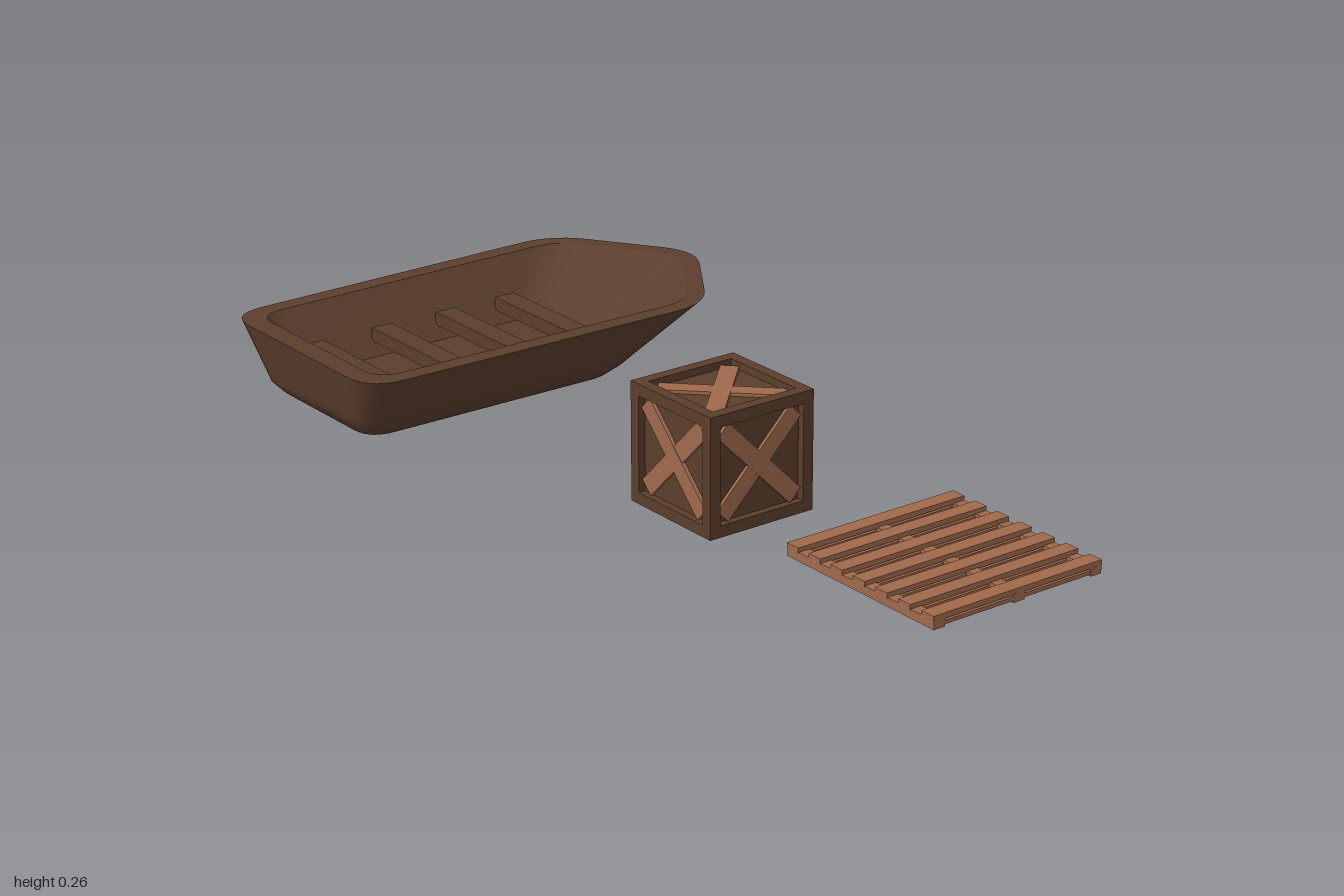
import * as THREE from 'three';

const dark = new THREE.MeshStandardMaterial({ color: 0x5c3f2e });
const light = new THREE.MeshStandardMaterial({ color: 0xa06a4c });

function box(parent, name, size, pos, material) {
  const mesh = new THREE.Mesh(new THREE.BoxGeometry(...size), material);
  mesh.name = name;
  mesh.position.set(...pos);
  parent.add(mesh);
  return mesh;
}

// Five-cornered boat outline with rounded corners, counterclockwise from above
function outline({ y, stern, side, zStern, zSide, zTip, r }) {
  const corners = [[stern, zStern], [side, zSide], [0, zTip], [-side, zSide], [-stern, zStern]]
    .map(([x, z]) => new THREE.Vector3(x, y, z));
  const loop = [];
  corners.forEach((c, i) => {
    const prev = corners[(i + 4) % 5], next = corners[(i + 1) % 5];
    const a = c.clone().add(prev.clone().sub(c).setLength(r));
    const b = c.clone().add(next.clone().sub(c).setLength(r));
    loop.push(...new THREE.QuadraticBezierCurve3(a, c, b).getPoints(7));
  });
  return loop;
}

// Skin over a stack of loops
function skin(loops) {
  const n = loops[0].length, index = [];
  for (let k = 0; k < loops.length - 1; k++) {
    for (let i = 0; i < n; i++) {
      const j = (i + 1) % n, a = k * n, b = a + n;
      index.push(a + i, a + j, b + j, a + i, b + j, b + i);
    }
  }
  const geo = new THREE.BufferGeometry().setFromPoints(loops.flat());
  geo.setIndex(index);
  geo.computeVertexNormals();
  return geo;
}

// Flat cap filling one loop
function cap(loop, up) {
  const n = loop.length, index = [];
  const centre = new THREE.Vector3(0, loop[0].y, 0.1);
  for (let i = 0; i < n; i++) {
    const j = (i + 1) % n;
    index.push(n, up ? i : j, up ? j : i);
  }
  const geo = new THREE.BufferGeometry().setFromPoints([...loop, centre]);
  geo.setIndex(index);
  geo.computeVertexNormals();
  return geo;
}

function createBoat() {
  const boat = new THREE.Group();
  boat.name = 'boat';
  const outer = [
    { y: 0.024, stern: 0.165, side: 0.17, zStern: 0.435, zSide: -0.13, zTip: -0.24, r: 0.05 },
    { y: 0.03, stern: 0.19, side: 0.195, zStern: 0.46, zSide: -0.155, zTip: -0.285, r: 0.06 },
    { y: 0.05, stern: 0.21, side: 0.215, zStern: 0.477, zSide: -0.18, zTip: -0.325, r: 0.065 },
    { y: 0.07, stern: 0.22, side: 0.226, zStern: 0.482, zSide: -0.205, zTip: -0.358, r: 0.068 },
    { y: 0.177, stern: 0.275, side: 0.288, zStern: 0.51, zSide: -0.34, zTip: -0.535, r: 0.085 },
  ].map(outline);
  const innerRim = outline({ y: 0.177, stern: 0.235, side: 0.247, zStern: 0.462, zSide: -0.32, zTip: -0.49, r: 0.06 });
  const floor = outline({ y: 0.06, stern: 0.135, side: 0.14, zStern: 0.44, zSide: -0.165, zTip: -0.26, r: 0.04 });
  const parts = {
    hull: skin(outer),
    hullBottom: cap(outer[0], false),
    rim: skin([outer[4], innerRim]),
    innerWall: skin([innerRim, floor]),
    floor: cap(floor, true),
  };
  for (const [name, geo] of Object.entries(parts)) {
    const mesh = new THREE.Mesh(geo, dark);
    mesh.name = name;
    boat.add(mesh);
  }
  // Cross planks above the floor
  for (const z of [-0.125, 0.032, 0.197, 0.37]) {
    box(boat, 'crossPlank', [0.335, 0.03, 0.05], [0, 0.1, z], dark);
  }
  boat.position.x = -0.715;
  return boat;
}

function createCrate() {
  const crate = new THREE.Group();
  crate.name = 'crate';
  const size = 0.256, bar = 0.025, recess = 0.016;
  const edge = (size - bar) / 2;
  box(crate, 'panels', Array(3).fill(size - 2 * recess), [0, 0, 0], dark);
  // Twelve frame bars
  for (const a of [-edge, edge]) {
    for (const b of [-edge, edge]) {
      box(crate, 'frameBar', [bar, size, bar], [a, 0, b], dark);
      box(crate, 'frameBar', [size - 2 * bar, bar, bar], [0, a, b], dark);
      box(crate, 'frameBar', [bar, bar, size - 2 * bar], [a, b, 0], dark);
    }
  }
  // A pair of crossed braces on each face
  const turns = [[0, 0], [0, 1], [0, 2], [0, 3], [1, 0], [-1, 0]];
  for (const [rx, ry] of turns) {
    const face = new THREE.Group();
    face.name = 'crossBrace';
    face.rotation.set(rx * Math.PI / 2, ry * Math.PI / 2, 0);
    [1, -1].forEach((s, i) => {
      const brace = box(face, 'brace', [0.255, 0.038, 0.014], [0, 0, size / 2 - recess + 0.001 * i], light);
      brace.rotation.z = s * Math.PI / 4;
    });
    crate.add(face);
  }
  crate.position.set(0.136, size / 2, 0.058);
  return crate;
}

function createPallet() {
  const pallet = new THREE.Group();
  pallet.name = 'pallet';
  // Seven slats on top, thinner ones between the bearers below
  for (let i = 0; i < 7; i++) {
    const x = (i - 3) * 0.0633;
    box(pallet, 'topSlat', [0.033, 0.011, 0.408], [x, 0.1215, 0], light);
    box(pallet, 'lowerSlat', [0.032, 0.008, 0.39], [x, 0.108, 0], light);
  }
  for (const z of [-0.19, 0, 0.19]) {
    box(pallet, 'bearer', [0.413, 0.018, 0.026], [0, 0.109, z], light);
  }
  pallet.position.set(0.793, 0, 0.052);
  return pallet;
}

export function createModel() {
  const model = new THREE.Group();
  model.name = 'boatCrateAndPallet';
  model.add(createBoat(), createCrate(), createPallet());
  return model;
}
